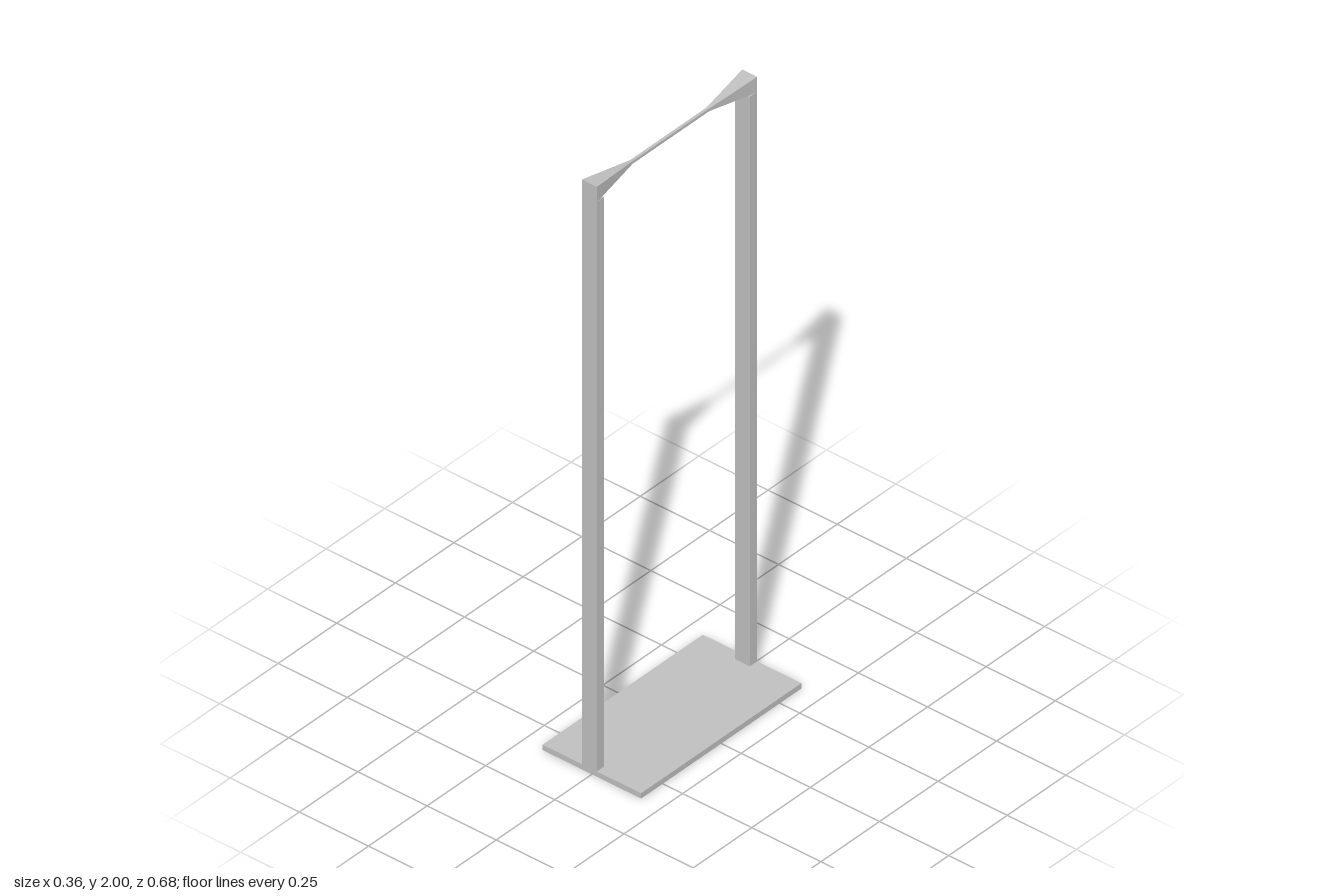
import * as THREE from 'three';

const grey = new THREE.MeshStandardMaterial({ color: 0xbfbfbf });
grey.name = 'grey metal';

function box(name, x0, x1, y0, y1, z0, z1) {
  const mesh = new THREE.Mesh(new THREE.BoxGeometry(x1 - x0, y1 - y0, z1 - z0), grey);
  mesh.position.set((x0 + x1) / 2, (y0 + y1) / 2, (z0 + z1) / 2);
  mesh.name = name;
  return mesh;
}

// Beam with rectangular sections, set by moving the rings of a segmented box
function beamGeometry(sections) {
  const n = sections.length - 1;
  const geo = new THREE.BoxGeometry(1, 1, n, 1, 1, n);
  const pos = geo.attributes.position;
  for (let i = 0; i < pos.count; i++) {
    const [z, x0, x1, y0, y1] = sections[Math.round(pos.getZ(i) + n / 2)];
    pos.setXYZ(i, pos.getX(i) < 0 ? x0 : x1, pos.getY(i) < 0 ? y0 : y1, z);
  }
  const flat = geo.toNonIndexed();
  flat.computeVertexNormals();
  return flat;
}

export function createModel() {
  const group = new THREE.Group();
  group.name = 'frameStand';

  // Base plate
  group.add(box('basePlate', -0.178, 0.178, 0, 0.018, -0.342, 0.342));

  // Uprights at both ends
  group.add(box('frontPost', -0.036, 0.018, 0.018, 1.949, 0.311, 0.342));
  group.add(box('backPost', -0.036, 0.018, 0.018, 1.949, -0.342, -0.311));

  // Thin top bar flaring out over each post: [z, x0, x1, y0, y1]
  const wide = [-0.036, 0.018, 1.947, 2];
  const thin = [-0.0135, -0.0045, 1.97, 1.979];
  const bar = new THREE.Mesh(beamGeometry([
    [-0.342, ...wide], [-0.163, ...thin], [0.163, ...thin], [0.342, ...wide],
  ]), grey);
  bar.name = 'topBar';
  group.add(bar);

  return group;
}
